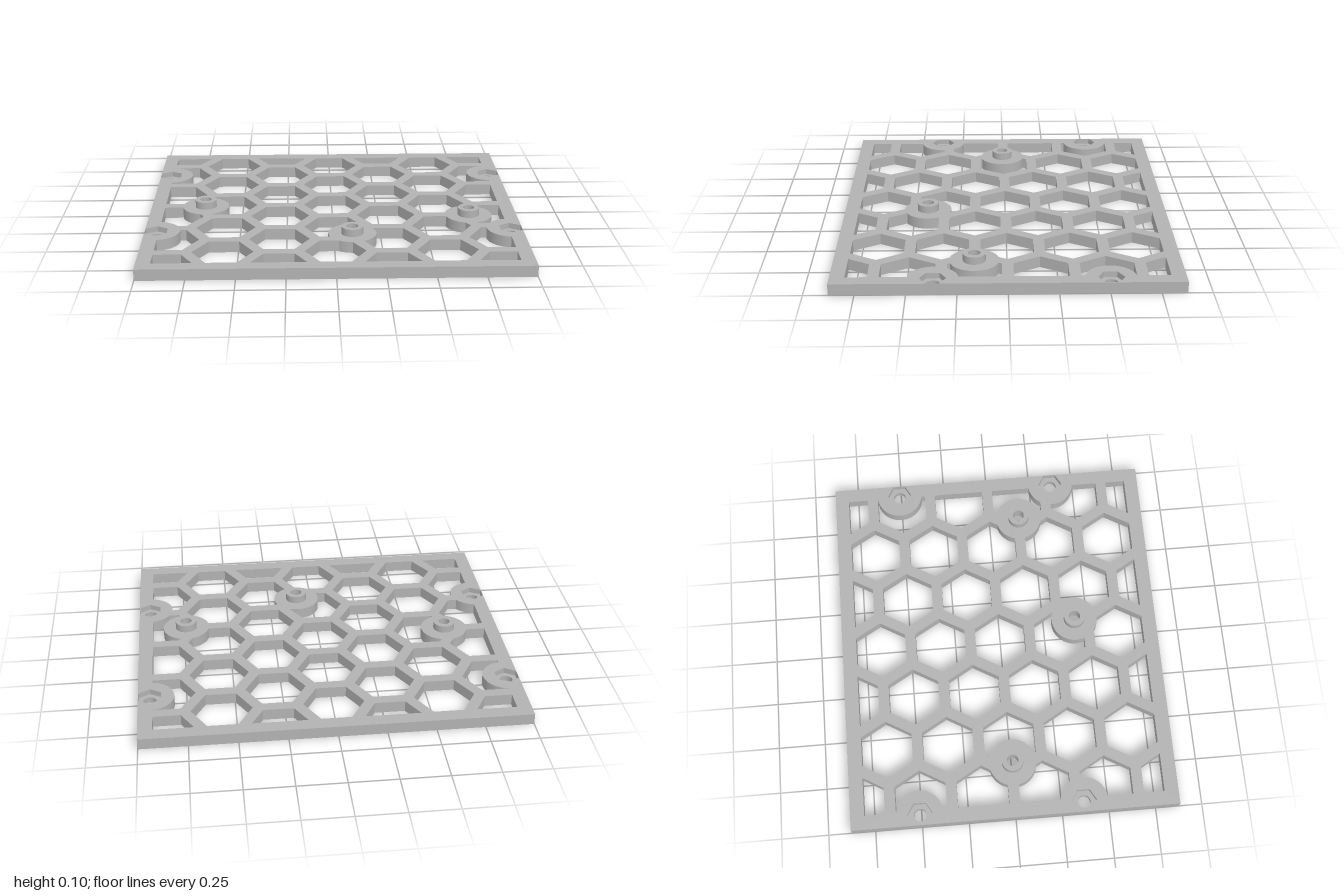
import * as THREE from 'three';
import { toCreasedNormals } from 'three/addons/utils/BufferGeometryUtils.js';

const HALF_X = 1, HALF_Z = 0.877;         // plate outline
const IN_X = 0.925, IN_Z = 0.802;         // inner edge of the solid rim
const THICK = 0.06, MID = 0.03, POST_TOP = 0.1;
const PITCH = 0.3315, WALL = 0.058;       // honeycomb spacing and rib width
const PAD_R = 0.127, NUT_R = 0.067;

const posts = [[-0.7, 0.007], [0.095, 0.423], [0.738, 0.167]];
const tabs = [-0.94, 0.94].flatMap(x => [[x, -0.507], [x, 0.37]]);
const pads = [...posts, ...tabs];

// Regular polygon, counter-clockwise
const ngon = (x, z, r, n, turn = 0) => Array.from({ length: n }, (_, i) => {
  const a = turn + i * 2 * Math.PI / n;
  return [x + r * Math.cos(a), z + r * Math.sin(a)];
});
const lerp = (a, b, t) => [a[0] + (b[0] - a[0]) * t, a[1] + (b[1] - a[1]) * t];

// Keep the part of a convex polygon where sign * p[axis] <= limit
function clip(poly, axis, sign, limit) {
  const out = [];
  poly.forEach((a, i) => {
    const b = poly[(i + 1) % poly.length];
    const da = sign * a[axis] - limit, db = sign * b[axis] - limit;
    if (da <= 0) out.push(a);
    if (da * db < 0) out.push(lerp(a, b, da / (da - db)));
  });
  return out;
}

// Remove a round pad from an opening; returns the pieces left over
function cutPad(poly, [cx, cz]) {
  const pts = [];
  poly.forEach((a, i) => {
    const b = poly[(i + 1) % poly.length];
    const dx = b[0] - a[0], dz = b[1] - a[1], fx = a[0] - cx, fz = a[1] - cz;
    const A = dx * dx + dz * dz, B = fx * dx + fz * dz, C = fx * fx + fz * fz - PAD_R * PAD_R;
    const D = B * B - A * C;
    pts.push(a);
    if (D > 0) for (const s of [-1, 1]) {
      const t = (-B + s * Math.sqrt(D)) / A;
      if (t > 1e-6 && t < 1 - 1e-6) pts.push(lerp(a, b, t));
    }
  });
  const n = pts.length;
  const outside = pts.map((p, i) => {
    const m = lerp(p, pts[(i + 1) % n], 0.5);
    return Math.hypot(m[0] - cx, m[1] - cz) > PAD_R;
  });
  if (outside.every(v => v)) return [poly];
  const pieces = [];
  for (let i = 0; i < n; i++) {
    if (!outside[i] || outside[(i + n - 1) % n]) continue;
    const run = [pts[i]];
    let j = i;
    while (outside[j % n]) run.push(pts[++j % n]);
    // close the run along the pad's edge, clockwise
    const end = run[run.length - 1];
    const a0 = Math.atan2(end[1] - cz, end[0] - cx);
    let a1 = Math.atan2(run[0][1] - cz, run[0][0] - cx);
    if (a1 > a0) a1 -= 2 * Math.PI;
    const steps = Math.max(2, Math.ceil((a0 - a1) / 0.13));
    for (let k = 1; k < steps; k++) {
      const a = a0 + (a1 - a0) * k / steps;
      run.push([cx + PAD_R * Math.cos(a), cz + PAD_R * Math.sin(a)]);
    }
    pieces.push(run);
  }
  return pieces;
}

// Honeycomb openings, trimmed by the rim and the pads
function openings() {
  const all = [];
  for (let c = -3; c <= 3; c++) for (let r = -3; r <= 3; r++) {
    const x = c * PITCH * Math.sqrt(3) / 2, z = (r + (c % 2 ? 0.5 : 0)) * PITCH;
    let hex = ngon(x, z, (PITCH - WALL) / Math.sqrt(3), 6);
    for (const s of [-1, 1]) hex = clip(clip(hex, 0, s, IN_X), 1, s, IN_Z);
    if (hex.length < 3) continue;
    let pieces = [hex];
    for (const pad of pads) pieces = pieces.flatMap(p => cutPad(p, pad));
    all.push(...pieces);
  }
  return all;
}

// Flat outline in x/z with holes, standing between two heights
function slab(outline, holes, bottom, top) {
  const vec = p => p.map(q => new THREE.Vector2(q[0], q[1]));
  const shape = new THREE.Shape(vec(outline));
  shape.holes = holes.map(h => new THREE.Path(vec(h)));
  const geo = new THREE.ExtrudeGeometry(shape, { depth: top - bottom, bevelEnabled: false });
  geo.rotateX(Math.PI / 2).translate(0, top, 0);
  return toCreasedNormals(geo, 0.5);
}

export function createModel() {
  const model = new THREE.Group();
  model.name = 'honeycombMountingPlate';
  const grey = new THREE.MeshStandardMaterial({ color: 0xb2b2b2 });
  grey.name = 'plainGrey';
  const add = (name, geo) => {
    const mesh = new THREE.Mesh(geo, grey);
    mesh.name = name;
    model.add(mesh);
  };

  const rim = [[-HALF_X, -HALF_Z], [HALF_X, -HALF_Z], [HALF_X, HALF_Z], [-HALF_X, HALF_Z]];
  const cells = openings();
  const nut = ([x, z]) => ngon(x, z, NUT_R, 6, Math.PI / 2);
  const bore = r => ([x, z]) => ngon(x, z, r, 32);

  // Lower layer has nut pockets under the posts, upper layer has them in the side tabs
  add('lowerPlate', slab(rim, [...cells, ...posts.map(nut), ...tabs.map(bore(0.034))], 0, MID));
  add('upperPlate', slab(rim, [...cells, ...posts.map(bore(0.031)), ...tabs.map(nut)], MID, THICK));

  // Hollow standoff posts
  posts.forEach(p => add('standoffPost', slab(bore(0.058)(p), [bore(0.031)(p)], THICK, POST_TOP)));
  return model;
}
